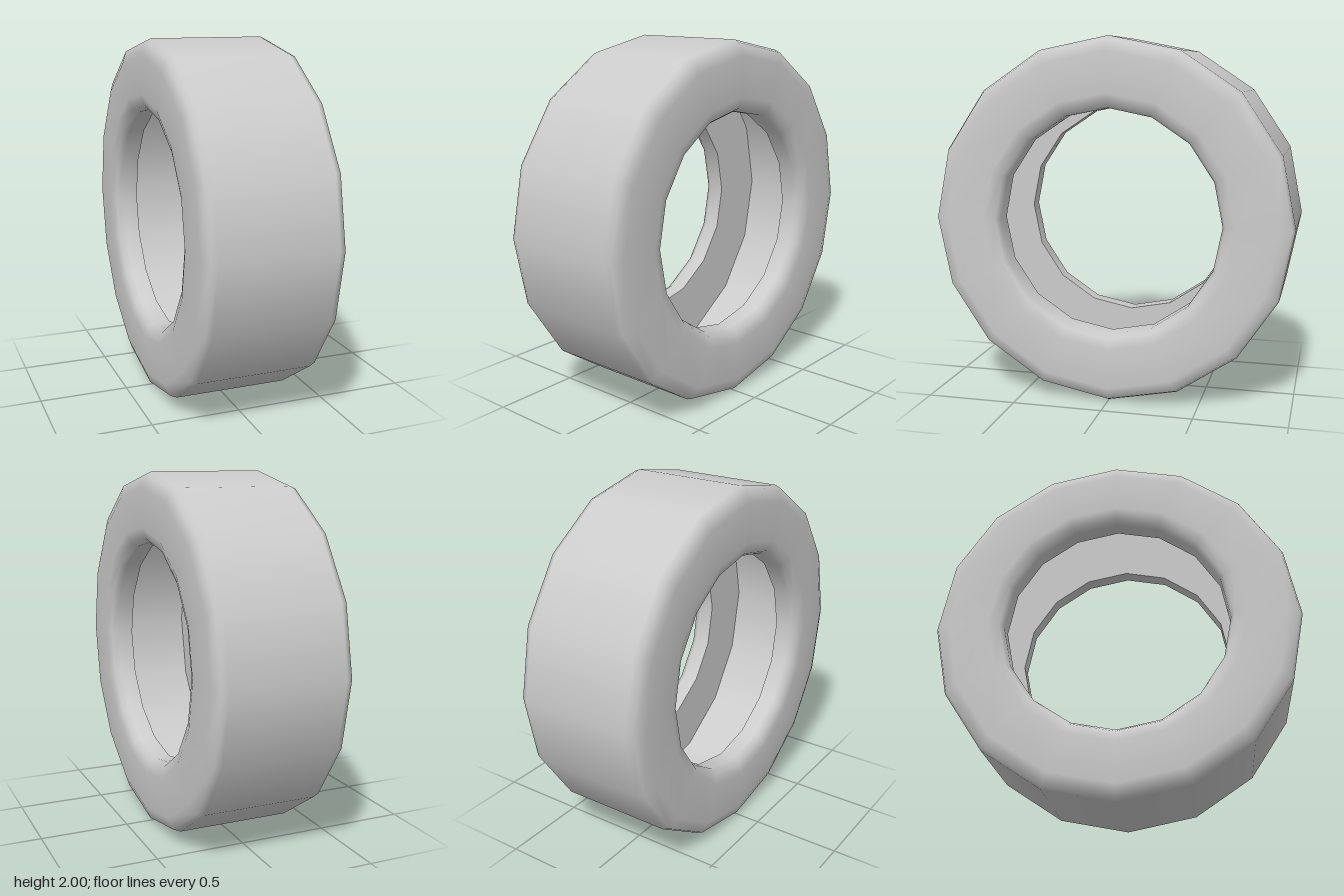
import * as THREE from 'three';

const SIDES = 16;

// Revolves [radius, x] points about the x axis
function ring(name, profile, material) {
  const points = profile.map(([r, x]) => new THREE.Vector2(r, x));
  const geometry = new THREE.LatheGeometry(points, SIDES);
  geometry.rotateZ(-Math.PI / 2);
  const mesh = new THREE.Mesh(geometry, material);
  mesh.name = name;
  return mesh;
}

export function createModel() {
  const group = new THREE.Group();
  group.name = 'tyre';
  const rubber = new THREE.MeshStandardMaterial({ color: 0xcccccc });

  const lip = 0.62, cavity = 0.95, wall = 0.235;

  // One half of the outer section, from the tread edge round to the inner lip
  const half = [
    [1, 0.32], [0.985, 0.355], [0.92, 0.38],
    [0.70, 0.38], [0.64, 0.36], [lip, 0.325], [lip, wall],
  ];
  const mirrored = half.map(([r, x]) => [r, -x]).reverse();

  const tyre = new THREE.Group();
  tyre.name = 'tyreBody';
  tyre.add(
    // Tread, shoulders, sidewalls and rounded lips
    ring('treadAndSidewalls', [...mirrored, ...half], rubber),
    // Hollow inside, with sharp corners
    ring('leftInnerWall', [[lip, wall], [cavity, wall]], rubber),
    ring('innerTread', [[cavity, wall], [cavity, -wall]], rubber),
    ring('rightInnerWall', [[cavity, -wall], [lip, -wall]], rubber),
  );
  tyre.position.y = 1;
  group.add(tyre);
  return group;
}
